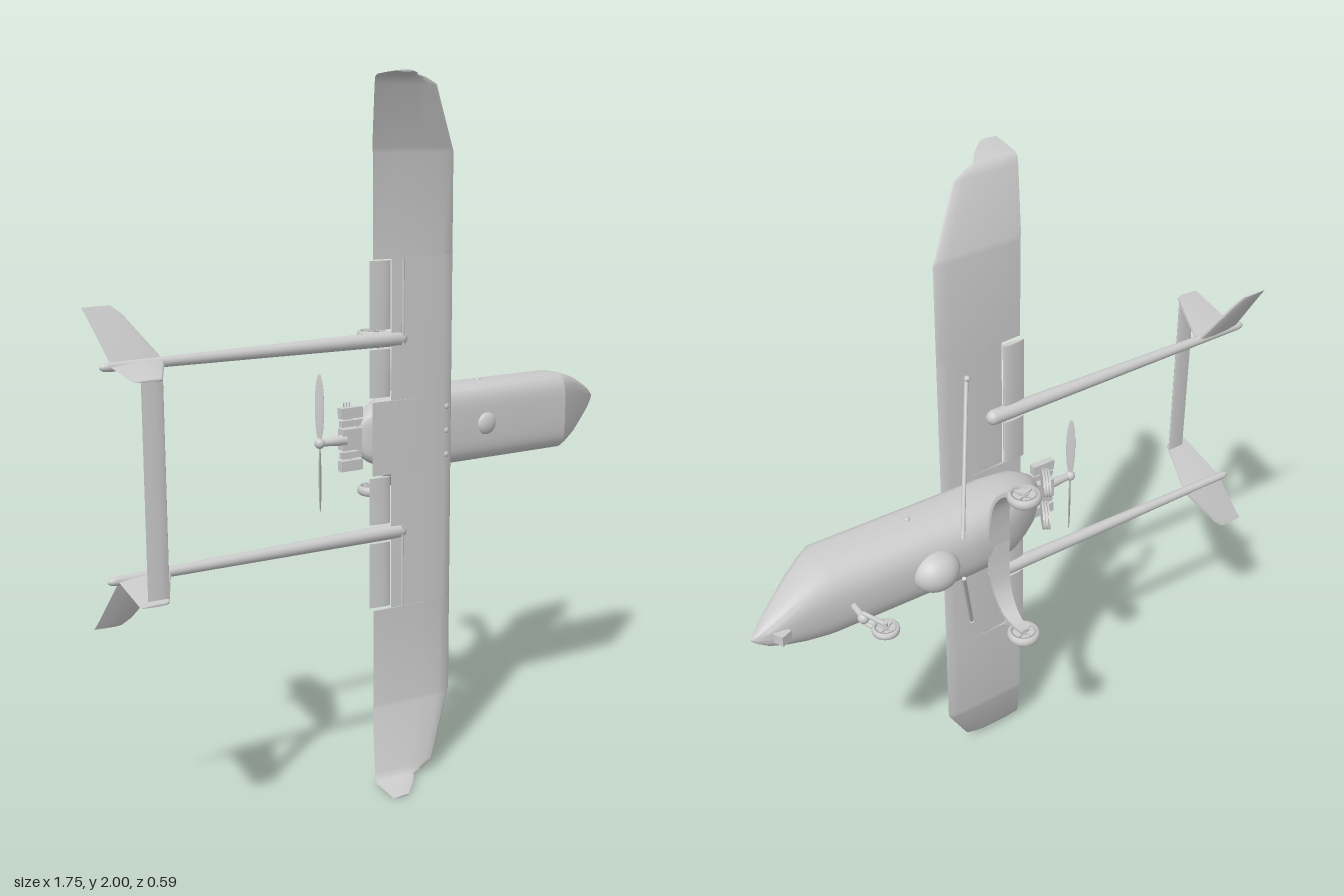
import * as THREE from 'three';
import { toCreasedNormals } from 'three/addons/utils/BufferGeometryUtils.js';

// Nose points along +x, wings span y (mirrored about y = 1), the aircraft's upper side is +z.
const MID = 1;
const mat = new THREE.MeshStandardMaterial({ color: 0xcccccc, side: THREE.DoubleSide });
const V = (x, y, z) => new THREE.Vector3(x, y, z);

function add(parent, name, geo) {
  const m = new THREE.Mesh(geo, mat);
  m.name = name;
  parent.add(m);
  return m;
}

// Skin a list of closed rings, cap both ends and turn faces outward.
function loft(rings, crease = 0.6) {
  const n = rings[0].length, pts = rings.flat(), tris = [];
  for (let i = 0; i < rings.length - 1; i++)
    for (let j = 0; j < n; j++) {
      const a = i * n + j, b = i * n + (j + 1) % n;
      tris.push([a, b, a + n], [b, b + n, a + n]);
    }
  const last = (rings.length - 1) * n;
  for (let j = 1; j < n - 1; j++) tris.push([0, j + 1, j], [last, last + j, last + j + 1]);
  let vol = 0;
  for (const [a, b, c] of tris) vol += pts[a].dot(pts[b].clone().cross(pts[c]));
  const geo = new THREE.BufferGeometry().setFromPoints(pts);
  geo.setIndex(tris.flatMap(([a, b, c]) => (vol > 0 ? [a, b, c] : [a, c, b])));
  return toCreasedNormals(geo, crease);
}

// Flying surface. Section: [y offset from MID, z, leading x, trailing x, thickness, normal y, normal z]
const FOIL = [[0, 0], [0.03, 0.6], [0.15, 1], [0.4, 1], [0.75, 0.6], [1, 0.1],
  [0.75, -0.5], [0.4, -0.8], [0.15, -0.8], [0.03, -0.5]];
function foil(sections, s = 1) {
  return loft(sections.map(([y, z, le, te, t, ny, nz]) => FOIL.map(([u, h]) =>
    V(le + (te - le) * u, MID + s * (y + ny * h * t / 2), z + nz * h * t / 2))));
}

function rod(parent, name, a, b, ra, rb = ra, sides = 20) {
  const d = b.clone().sub(a);
  const m = add(parent, name, new THREE.CylinderGeometry(rb, ra, d.length(), sides));
  m.position.copy(a).addScaledVector(d, 0.5);
  m.quaternion.setFromUnitVectors(V(0, 1, 0), d.normalize());
  return m;
}

function ball(parent, name, p, r, sx = 1, sy = 1, sz = 1) {
  const m = add(parent, name, new THREE.SphereGeometry(r, 28, 18));
  m.position.copy(p);
  m.scale.set(sx, sy, sz);
  return m;
}

function box(parent, name, p, x, y, z) {
  const m = add(parent, name, new THREE.BoxGeometry(x, y, z));
  m.position.copy(p);
  return m;
}

// Wheel with its axle along y: tyre, rim ring, hub and spokes
function wheel(parent, name, p, r, width) {
  const g = new THREE.Group();
  g.name = name;
  g.position.copy(p);
  const h = width / 2;
  const prof = [[0.68, -0.9], [0.85, -1], [0.97, -0.6], [1, 0], [0.97, 0.6], [0.85, 1], [0.68, 0.9], [0.68, -0.9]];
  add(g, 'tyre', new THREE.LatheGeometry(prof.map(([a, b]) => new THREE.Vector2(a * r, b * h)), 36));
  add(g, 'hub', new THREE.CylinderGeometry(r * 0.25, r * 0.25, width, 18));
  add(g, 'rimDisc', new THREE.CylinderGeometry(r * 0.7, r * 0.7, width * 0.3, 30));
  for (let i = 0; i < 4; i++) {
    const a = i * Math.PI / 2 + 0.4;
    const sp = box(g, 'spoke', V(Math.cos(a) * r * 0.45, 0, -Math.sin(a) * r * 0.45), r * 0.5, width * 0.7, r * 0.16);
    sp.rotation.y = a;
  }
  parent.add(g);
}

export function createModel() {
  const model = new THREE.Group();
  model.name = 'twinBoomDrone';

  // Fuselage stations: x, half width, top z, belly z
  const stations = [
    [-0.085, 0.035, 0.025, 0.002], [-0.07, 0.06, 0.038, -0.02], [-0.04, 0.08, 0.05, -0.05], [0, 0.098, 0.056, -0.075],
    [0.05, 0.108, 0.057, -0.103], [0.1, 0.114, 0.057, -0.121], [0.16, 0.115, 0.057, -0.132], [0.22, 0.115, 0.057, -0.136],
    [0.63, 0.115, 0.057, -0.136], [0.66, 0.109, 0.039, -0.136], [0.72, 0.09, 0.002, -0.136], [0.78, 0.063, -0.04, -0.136],
    [0.83, 0.037, -0.074, -0.131], [0.86, 0.015, -0.096, -0.12], [0.873, 0.003, -0.107, -0.111]];
  add(model, 'fuselage', loft(stations.map(([x, w, top, bot]) => Array.from({ length: 40 }, (_, i) => {
    const a = i / 40 * Math.PI * 2, c = Math.cos(a), s = Math.sin(a);
    // squarish upper corners, softer chamfered belly
    const e = 2 / (s > 0 ? 4 : 2.6), mid = top - (top - bot) * 0.42;
    return V(x, MID + w * Math.sign(c) * Math.abs(c) ** e,
      mid + (s > 0 ? top - mid : mid - bot) * Math.sign(s) * Math.abs(s) ** e);
  })), 0.5));

  // Sensor domes, nose camera and roof bolts
  ball(model, 'bellyDome', V(0.338, MID, -0.128), 0.07, 1, 0.85, 0.87);
  ball(model, 'roofDome', V(0.335, MID, 0.052), 0.034, 1, 1, 0.5);
  box(model, 'noseCamera', V(0.8, MID, -0.137), 0.035, 0.03, 0.035).rotation.y = 0.4;
  for (const y of [-0.07, 0, 0.07]) ball(model, 'wingBolt', V(0.18, MID + y, 0.071), 0.008, 1, 1, 0.5);

  // Centre wing, with its trailing edge cut back for the flaps
  const zw = 0.064, t = 0.017;
  add(model, 'centreWing', foil([[-0.5, zw, 0.2, -0.005, t, 0, 1], [0.5, zw, 0.2, -0.005, t, 0, 1]]));
  add(model, 'wingRoot', foil([[-0.105, zw, 0.19, -0.067, t, 0, 1], [0.105, zw, 0.19, -0.067, t, 0, 1]]));

  for (const s of [1, -1]) {
    const Y = y => MID + s * y;

    // Outer wing curling up into the raked tip
    add(model, 'outerWing', foil([
      [0.5, zw, 0.2, -0.065, t, 0, 1], [0.785, zw, 0.2, -0.065, t, 0, 1],
      [0.8, 0.067, 0.193, -0.069, t, -0.2, 0.98],
      [0.965, 0.124, 0.1, -0.098, 0.013, -0.33, 0.94], [0.983, 0.132, 0.06, -0.101, 0.011, -0.6, 0.8],
      [0.99, 0.143, 0.025, -0.102, 0.009, -0.95, 0.3], [0.994, 0.185, -0.005, -0.103, 0.008, -1, 0.1],
      [0.997, 0.235, -0.055, -0.105, 0.006, -1, 0.1]], s));

    // Drooped flaps either side of the boom, and the hinge rail
    for (const [a, b] of [[0.115, 0.25], [0.305, 0.495]]) {
      const f = 0.05;
      add(model, 'flap', foil([[a, f, 0, -0.068, 0.016, 0, 1], [b, f, 0, -0.068, 0.016, 0, 1]], s));
    }
    rod(model, 'hingeRail', V(0.03, Y(0.26), 0.071), V(0.03, Y(0.5), 0.071), 0.004, 0.004, 8);

    // Tail boom
    const yb = 0.277;
    rod(model, 'tailBoom', V(0.03, Y(yb), 0.054), V(-0.84, Y(yb), 0.058), 0.022, 0.012);
    ball(model, 'boomNose', V(0.03, Y(yb), 0.054), 0.022);
    ball(model, 'boomEnd', V(-0.84, Y(yb), 0.058), 0.012, 2);

    // Upright fin and splayed lower fin
    add(model, 'tailFin', foil([[yb, 0.055, -0.685, -0.835, 0.016, 1, 0],
      [yb, 0.285, -0.798, -0.876, 0.01, 1, 0], [yb, 0.292, -0.81, -0.878, 0.006, 1, 0]], s));
    add(model, 'lowerFin', foil([[yb, 0.055, -0.685, -0.83, 0.016, 0.45, 0.9],
      [0.4, 0, -0.775, -0.87, 0.011, 0.45, 0.9], [0.42, -0.009, -0.8, -0.878, 0.006, 0.45, 0.9]], s));

    // Wing strut
    rod(model, 'wingStrut', V(0.25, Y(0.07), -0.13), V(0.112, Y(0.43), 0.058), 0.006, 0.006, 10);
    ball(model, 'strutFoot', V(0.112, Y(0.43), 0.055), 0.009);
    ball(model, 'sideNub', V(0.36, Y(0.113), -0.025), 0.009);

    // Bowed main gear leg, tapering towards the wheel
    const path = new THREE.CatmullRomCurve3([V(0.135, 0, -0.125), V(0.135, 0.08, -0.13), V(0.135, 0.155, -0.145),
      V(0.135, 0.205, -0.18), V(0.135, 0.222, -0.215), V(0.135, 0.222, -0.262)]);
    const rings = path.getPoints(24).map((p, i) => {
      const d = path.getTangent(i / 24), w = 0.036 - 0.022 * i / 24;
      return [[-w, -1], [w, -1], [w, 1], [-w, 1]].map(([x, k]) =>
        V(p.x + x, Y(p.y - d.z * k * 0.005), p.z + d.y * k * 0.005));
    });
    add(model, 'mainGearLeg', loft(rings));
    rod(model, 'axle', V(0.135, Y(0.215), -0.252), V(0.135, Y(0.255), -0.252), 0.008);
    wheel(model, 'mainWheel', V(0.135, Y(0.238), -0.252), 0.046, 0.028);

    // Engine cylinder: a slanted stack of cooling fins beside the crankcase
    const cyl = new THREE.Group();
    cyl.name = 'engineCylinder';
    cyl.position.set(-0.088, Y(0.058), -0.032);
    cyl.rotation.y = -0.5;
    for (let i = 0; i < 3; i++) {
      const fin = add(cyl, 'coolingFin', new THREE.CylinderGeometry(0.034, 0.034, 0.005, 24));
      fin.rotation.z = Math.PI / 2;
      fin.scale.z = 1.5;
      fin.position.x = (i - 1) * 0.008;
    }
    box(cyl, 'cylinderCore', V(0, 0, 0), 0.02, 0.04, 0.08);
    model.add(cyl);
    box(model, 'engineMount', V(-0.1, Y(0.045), 0.018), 0.085, 0.018, 0.014);
    box(model, 'engineHead', V(-0.11, Y(0.075), 0.018), 0.07, 0.03, 0.02);

    // Propeller blade, twisted to pitch
    const blade = ball(model, 'propellerBlade', V(-0.212, Y(0.1), 0.022), 0.095, 0.03, 1, 0.14);
    blade.rotation.y = s * 0.75;
  }

  // Tailplane bridging the fins
  add(model, 'tailplane', foil([[-0.277, 0.262, -0.787, -0.845, 0.01, 0, 1], [0.277, 0.262, -0.787, -0.845, 0.01, 0, 1]]));

  // Crankcase, shaft and spinner
  box(model, 'crankcase', V(-0.1, MID, 0.015), 0.08, 0.06, 0.03);
  rod(model, 'propellerShaft', V(-0.13, MID, 0.02), V(-0.21, MID, 0.022), 0.016, 0.009);
  ball(model, 'propellerHub', V(-0.212, MID, 0.022), 0.015);

  // Nose gear with a steering fork
  rod(model, 'noseStrut', V(0.59, MID, -0.125), V(0.593, MID, -0.195), 0.009);
  ball(model, 'noseStrutJoint', V(0.593, MID, -0.19), 0.016);
  for (const y of [-0.016, 0.016]) rod(model, 'noseFork', V(0.593, MID + y, -0.19), V(0.567, MID + y, -0.26), 0.006);
  rod(model, 'noseAxle', V(0.567, MID - 0.022, -0.26), V(0.567, MID + 0.022, -0.26), 0.006);
  wheel(model, 'noseWheel', V(0.567, MID, -0.26), 0.037, 0.02);

  return model;
}
